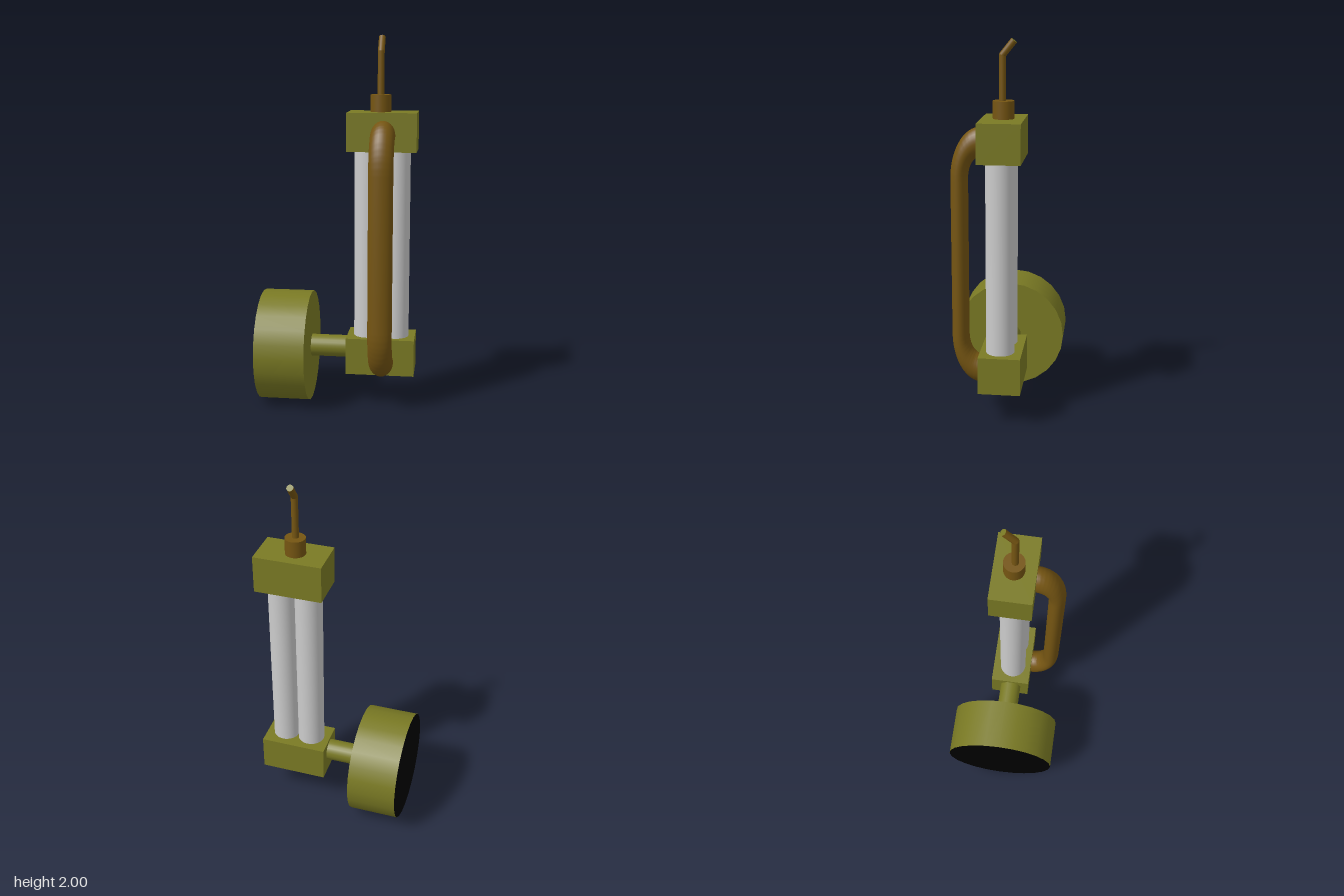
import * as THREE from 'three';

const paint = (color) => new THREE.MeshStandardMaterial({ color });

export function createModel() {
  const model = new THREE.Group();
  const olive = paint(0x7a7a24), brown = paint(0x755512), grey = paint(0xcccccc), black = paint(0x000000);

  const add = (name, geometry, material, x, y, z) => {
    const mesh = new THREE.Mesh(geometry, material);
    mesh.name = name;
    mesh.position.set(x, y, z);
    model.add(mesh);
    return mesh;
  };
  // Cylinder stretched between two points
  const rod = (name, a, b, radius, sides, material) => {
    const from = new THREE.Vector3(...a), to = new THREE.Vector3(...b);
    const dir = to.clone().sub(from);
    const mid = from.clone().add(to).multiplyScalar(0.5);
    const mesh = add(name, new THREE.CylinderGeometry(radius, radius, dir.length(), sides), material, mid.x, mid.y, mid.z);
    mesh.quaternion.setFromUnitVectors(new THREE.Vector3(0, 1, 0), dir.normalize());
    return mesh;
  };

  // End blocks
  add('lowerBlock', new THREE.BoxGeometry(0.37, 0.2, 0.222), olive, 0.235, 0.277, -0.005);
  add('upperBlock', new THREE.BoxGeometry(0.37, 0.205, 0.222), olive, 0.235, 1.497, -0.005);

  // Twin columns between the blocks
  for (const x of [0.16, 0.31]) rod('column', [x, 0.37, 0], [x, 1.4, 0], 0.075, 32, grey);

  // Side wheel with a black outer face, and its axle
  rod('wheel', [-0.15, 0.303, 0], [-0.422, 0.303, 0], 0.303, 24, [olive, black, olive]);
  rod('axle', [-0.16, 0.303, 0], [0.06, 0.303, 0], 0.06, 24, olive);

  // Front bypass pipe: round tube of radius 1, then scaled to an oval section
  const scale = new THREE.Vector3(0.065, 0.077, 0.045);
  const bend = 2.5, half = (1.482 - 0.253) / 2 / scale.y;
  const points = [];
  for (const end of [-1, 1]) {
    for (let i = 0; i <= 12; i++) {
      const t = (end < 0 ? i : 12 - i) / 12 * Math.PI / 2;
      points.push(new THREE.Vector3(0, end * (half - bend + bend * Math.cos(t)), bend * Math.sin(t)));
    }
  }
  points.unshift(new THREE.Vector3(0, -half, -0.4));
  points.push(new THREE.Vector3(0, half, -0.4));
  const path = new THREE.CurvePath();
  for (let i = 1; i < points.length; i++) path.add(new THREE.LineCurve3(points[i - 1], points[i]));
  const pipe = new THREE.TubeGeometry(path, 160, 1, 28);
  pipe.scale(scale.x, scale.y, scale.z);
  add('bypassPipe', pipe, brown, 0.244, 0.8675, 0.107);

  // Top fitting with a bent stem
  const x = 0.223;
  rod('fitting', [x, 1.59, -0.008], [x, 1.69, -0.008], 0.055, 28, brown);
  rod('stem', [x, 1.68, -0.003], [x, 1.917, -0.003], 0.018, 20, brown);
  add('stemElbow', new THREE.SphereGeometry(0.018, 20, 12), brown, x, 1.917, -0.003);
  rod('stemTip', [x, 1.917, -0.003], [x, 1.989, -0.061], 0.018, 20, [brown, olive, brown]);

  return model;
}
